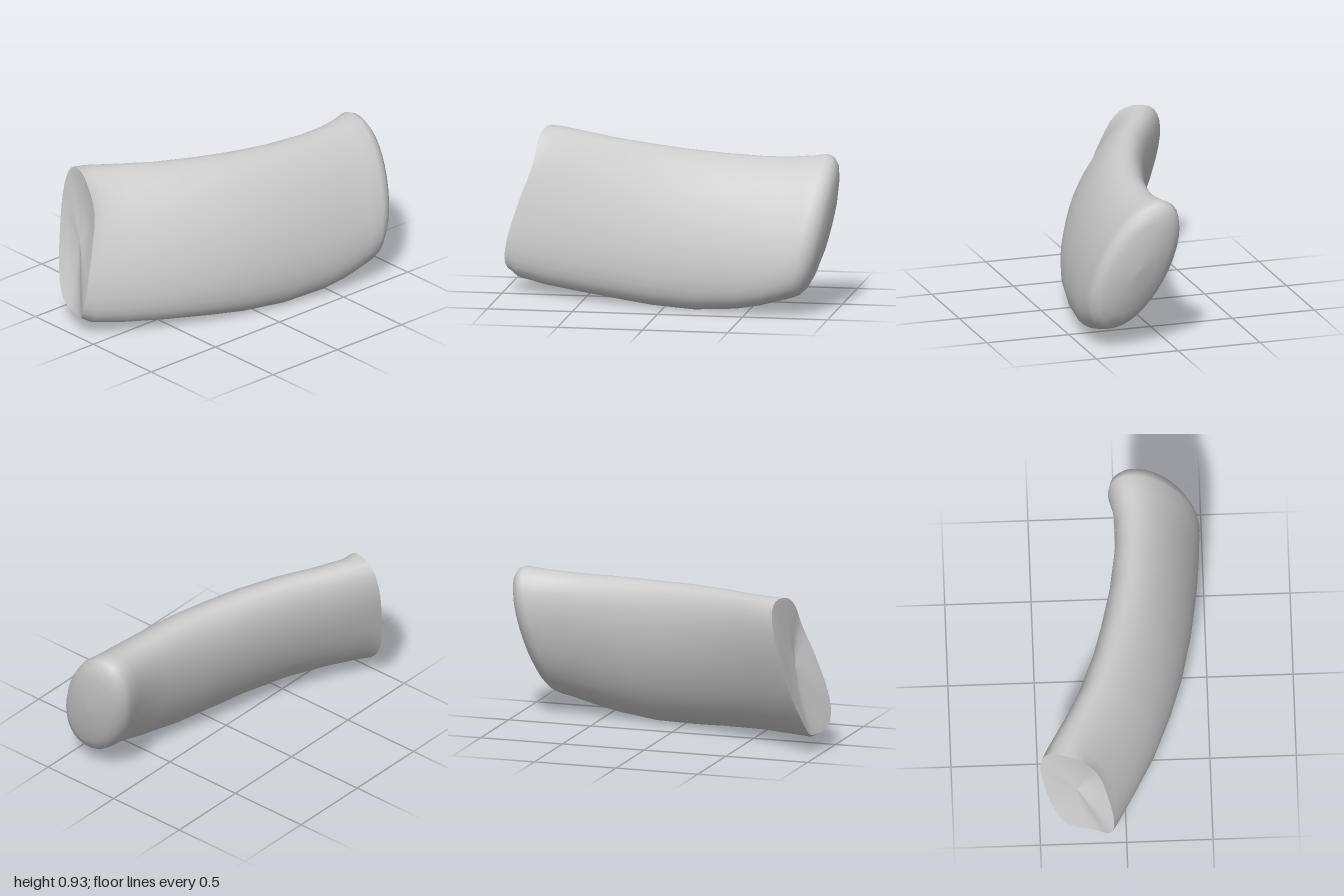
import * as THREE from 'three';

const SIDES = 36;
const soft = (v, power) => Math.sign(v) * Math.pow(Math.abs(v), power);
const bump = (ang, centre, width) => Math.exp(-Math.pow((ang - centre) / width, 2));

// One leaning rounded cross-section; its plane is tilted by slopes a (over y) and b (over z).
// A lower power gives a squarer outline.
function ring({ x, top, bottom, z, half, lean, a, b, power, scale = 1, dx = () => 0 }) {
  const yc = (top + bottom) / 2, h = (top - bottom) / 2;
  const t = Math.sqrt(half * half - lean * lean);
  const points = [];
  for (let i = 0; i < SIDES; i++) {
    const ang = (i / SIDES) * Math.PI * 2 - Math.PI * 0.75;
    const c = soft(Math.cos(ang), power), s = soft(Math.sin(ang), power);
    const dy = h * s * scale, dz = (t * c - lean * s) * scale;
    points.push(new THREE.Vector3(x + a * dy + b * dz + dx(ang), yc + dy, z + dz));
  }
  return points;
}

// Skin a row of rings running from -x to +x.
function loft(name, rings, material) {
  const pos = [], index = [];
  rings.forEach((r) => r.forEach((p) => pos.push(p.x, p.y, p.z)));
  for (let r = 0; r < rings.length - 1; r++) {
    for (let i = 0; i < SIDES; i++) {
      const j = (i + 1) % SIDES;
      const p = r * SIDES + i, q = r * SIDES + j;
      index.push(p, p + SIDES, q + SIDES, p, q + SIDES, q);
    }
  }
  const geo = new THREE.BufferGeometry();
  geo.setAttribute('position', new THREE.Float32BufferAttribute(pos, 3));
  geo.setIndex(index);
  geo.computeVertexNormals();
  const mesh = new THREE.Mesh(geo, material);
  mesh.name = name;
  return mesh;
}

export function createModel() {
  const group = new THREE.Group();
  group.name = 'curvedPad';
  const material = new THREE.MeshStandardMaterial({ color: 0xcccccc, side: THREE.DoubleSide });

  // x, top, bottom, z, half depth, lean, slope a, slope b, power
  const sections = [
    [-0.89, 0.93, 0.10, -0.283, 0.2, 0.08, 0.19, -0.27, 0.78],
    [-0.82, 0.93, 0.075, -0.245, 0.206, 0.1, 0.19, -0.27, 0.9],
    [-0.65, 0.92, 0.058, -0.148, 0.212, 0.11, 0.17, -0.26, 0.97],
    [-0.45, 0.91, 0.045, -0.04, 0.22, 0.11, 0.15, -0.25, 1],
    [-0.2, 0.9, 0.025, 0.06, 0.227, 0.11, 0.13, -0.22, 1],
    [0.0, 0.89, 0.008, 0.122, 0.233, 0.11, 0.12, -0.2, 1],
    [0.25, 0.883, 0.0, 0.182, 0.235, 0.11, 0.12, -0.12, 1],
    [0.5, 0.877, 0.022, 0.222, 0.235, 0.12, 0.13, -0.05, 0.98],
    [0.65, 0.88, 0.05, 0.235, 0.238, 0.125, 0.16, 0, 0.97],
    [0.77, 0.89, 0.08, 0.232, 0.248, 0.13, 0.19, 0, 0.97],
    [0.85, 0.9, 0.1, 0.224, 0.263, 0.13, 0.2, 0, 0.97],
  ].map(([x, top, bottom, z, half, lean, a, b, power]) =>
    ({ x, top, bottom, z, half, lean, a, b, power }));
  const first = sections[0], last = sections[sections.length - 1];

  // Open end: upper front and bottom edges pulled in
  const pullIn = (ang) => 0.035 * bump(ang, 0.4, 0.45) + 0.045 * bump(ang, -Math.PI / 2, 0.5);
  first.dx = pullIn;
  sections[1].dx = (ang) => 0.4 * pullIn(ang);

  // Body with a domed end
  const dome = [[0.89, 0.96], [0.923, 0.86], [0.945, 0.7], [0.965, 0.4], [0.973, 0.001]];
  const body = sections.map(ring);
  dome.forEach(([x, scale]) => body.push(ring({ ...last, x, scale })));
  group.add(loft('body', body, material));

  // Crumpled, slightly sunken end face
  const dents = [[0.04, 0.001], [0.035, 0.35], [0.02, 0.65], [0.005, 0.9]];
  const face = dents.map(([depth, scale]) => ring({
    ...first, x: first.x + depth, scale,
    dx: (ang) => scale * (pullIn(ang) + 0.04 * (1 - scale) * Math.sin(2 * ang)),
  }));
  face.push(ring(first));
  group.add(loft('sunkenEnd', face, material));
  return group;
}
